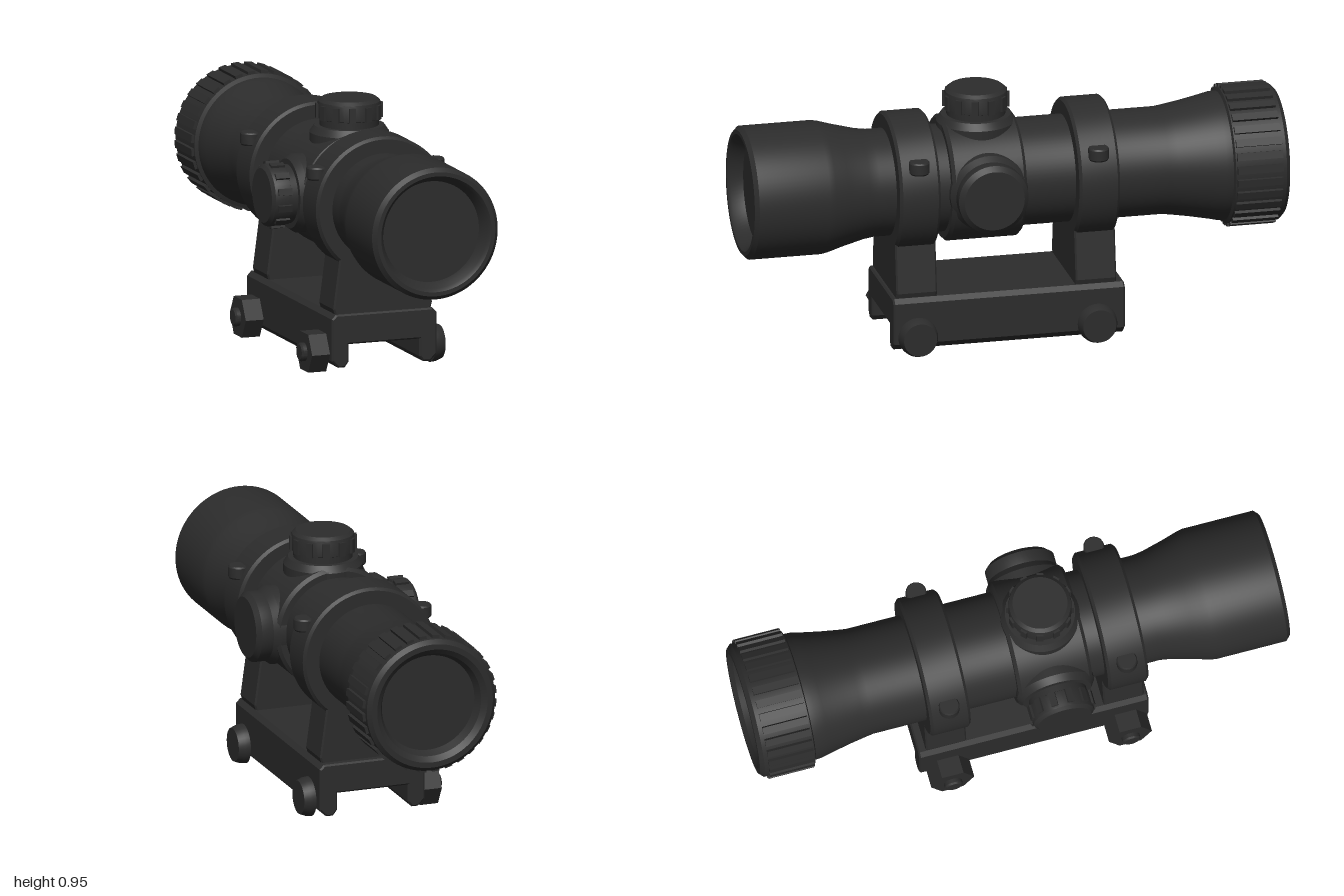
import * as THREE from 'three';
import { toCreasedNormals } from 'three/addons/utils/BufferGeometryUtils.js';

const black = new THREE.MeshStandardMaterial({ color: 0x2c2c2c });
black.name = 'matte black';

function part(parent, name, geometry) {
  const mesh = new THREE.Mesh(geometry, black);
  mesh.name = name;
  parent.add(mesh);
  return mesh;
}

// Turned profile of [radius, height] pairs, from the bottom upward
function turned(profile, sides = 64) {
  const points = profile.map(([r, h]) => new THREE.Vector2(r, h));
  return toCreasedNormals(new THREE.LatheGeometry(points, sides), 0.45);
}

// Same, with the height running along z
const turnedZ = (profile, sides) => turned(profile, sides).rotateX(Math.PI / 2);

// Chamfered collar from z0 to z1
const collar = (r, z0, z1, c) =>
  turnedZ([[0, z0], [r - c, z0], [r, z0 + c], [r, z1 - c], [r - c, z1], [0, z1]]);

// Outline in x and y, extruded with a small bevel from z0 to z1
function slab(outline, z0, z1, bevel) {
  const shape = new THREE.Shape(outline.map(([x, y]) => new THREE.Vector2(x, y)));
  return new THREE.ExtrudeGeometry(shape, {
    depth: z1 - z0 - 2 * bevel, bevelThickness: bevel, bevelSize: bevel,
    bevelOffset: -bevel, bevelSegments: 1,
  }).translate(0, 0, z0 + bevel);
}

// Grip ribs spread around a knob whose axis is y
function ribs(parent, count, radius, y, size) {
  for (let i = 0; i < count; i++) {
    const a = ((i + 0.5) / count) * Math.PI * 2;
    const rib = part(parent, 'gripRib', new THREE.BoxGeometry(...size));
    rib.position.set(Math.sin(a) * radius, y, Math.cos(a) * radius);
    rib.rotation.y = a;
  }
}

// Adjustment turret pointing away from the tube
function turret(parent, name, angle, ribbed) {
  const g = new THREE.Group();
  g.name = name;
  g.position.z = 0.12;
  g.rotation.z = angle;
  parent.add(g);
  part(g, 'turretBoss', turned([[0, 0.05], [0.145, 0.05], [0.145, 0.215], [0.128, 0.24], [0, 0.24]], 48));
  if (ribbed) {
    part(g, 'turretKnob', turned([[0, 0.22], [0.108, 0.22], [0.108, 0.265], [0.115, 0.268], [0.115, 0.322],
      [0.113, 0.329], [0.1, 0.34], [0, 0.34]], 48));
    ribs(g, 12, 0.113, 0.293, [0.025, 0.053, 0.02]);
  } else {
    part(g, 'turretCap', turned([[0, 0.22], [0.122, 0.22], [0.13, 0.245], [0.13, 0.285],
      [0.112, 0.302], [0, 0.302]], 48));
  }
}

export function createModel() {
  const model = new THREE.Group();
  model.name = 'rifleScope';

  // Optical tube, recessed at both ends
  const optic = new THREE.Group();
  optic.name = 'optic';
  optic.position.set(0.018, 0.61, 0);
  model.add(optic);
  part(optic, 'tube', turnedZ([
    [0, -0.955], [0.18, -0.955], [0.195, -0.985], [0.215, -1], [0.235, -1], [0.25, -0.985],
    [0.25, -0.795], [0.236, -0.79], [0.235, -0.765], [0.228, -0.735], [0.212, -0.655], [0.202, -0.595],
    [0.197, -0.56], [0.197, 0.52], [0.203, 0.56], [0.225, 0.645], [0.24, 0.695], [0.245, 0.72],
    [0.245, 0.985], [0.23, 1], [0.215, 1], [0.203, 0.988], [0.187, 0.945], [0, 0.945],
  ], 80));

  // Ribbed focus ring at the eyepiece
  const focus = new THREE.Group();
  focus.name = 'focusRing';
  focus.rotation.x = Math.PI / 2;
  optic.add(focus);
  ribs(focus, 32, 0.25, -0.885, [0.028, 0.17, 0.022]);

  // Turret housing and its three turrets
  part(optic, 'turretHousing', collar(0.232, -0.02, 0.258, 0.012));
  turret(optic, 'topTurret', 0, true);
  turret(optic, 'rightTurret', Math.PI / 2, true);
  turret(optic, 'leftTurret', -Math.PI / 2, false);

  // Mount rings with clamp bolts, pillars and base bolts
  for (const z of [0.385, -0.285]) {
    part(optic, 'mountRing', collar(0.258, z - 0.076, z + 0.076, 0.01));
    for (const side of [-1, 1]) {
      const bolt = part(optic, 'clampBolt',
        turned([[0, -0.024], [0.034, -0.024], [0.038, -0.018], [0.038, 0.018], [0.034, 0.024], [0, 0.024]], 20));
      bolt.position.set(side * 0.228, 0.127, z);
    }
    part(model, 'pillar', slab(
      [[-0.165, 0.21], [0.202, 0.21], [0.211, 0.24], [0.185, 0.43], [-0.149, 0.43], [-0.174, 0.24]],
      z - 0.076, z + 0.076, 0.006));

    const nut = part(model, 'hexNut', new THREE.CylinderGeometry(0.081, 0.081, 0.07, 6).toNonIndexed());
    nut.geometry.computeVertexNormals();
    nut.rotation.z = Math.PI / 2;
    nut.position.set(-0.225, 0.076, z);
    const stud = part(model, 'boltStud',
      turned([[0, 0], [0.034, 0], [0.034, 0.088], [0.028, 0.094], [0, 0.094]], 24));
    stud.rotation.z = Math.PI / 2;
    stud.position.set(-0.186, 0.076, z);
    const head = part(model, 'boltHead',
      turned([[0, 0], [0.073, 0], [0.071, 0.02], [0.062, 0.043], [0, 0.043]], 32));
    head.rotation.z = -Math.PI / 2;
    head.position.set(0.225, 0.076, z);
  }

  // Channel-shaped base clamp
  part(model, 'baseClamp', slab([
    [-0.185, 0.05], [-0.16, 0.025], [-0.135, 0.025], [-0.12, 0.045], [-0.12, 0.11], [0.156, 0.11],
    [0.156, 0.045], [0.171, 0.025], [0.198, 0.025], [0.223, 0.05], [0.223, 0.205], [0.207, 0.222],
    [-0.169, 0.222], [-0.185, 0.205],
  ], -0.39, 0.475, 0.006));

  return model;
}
